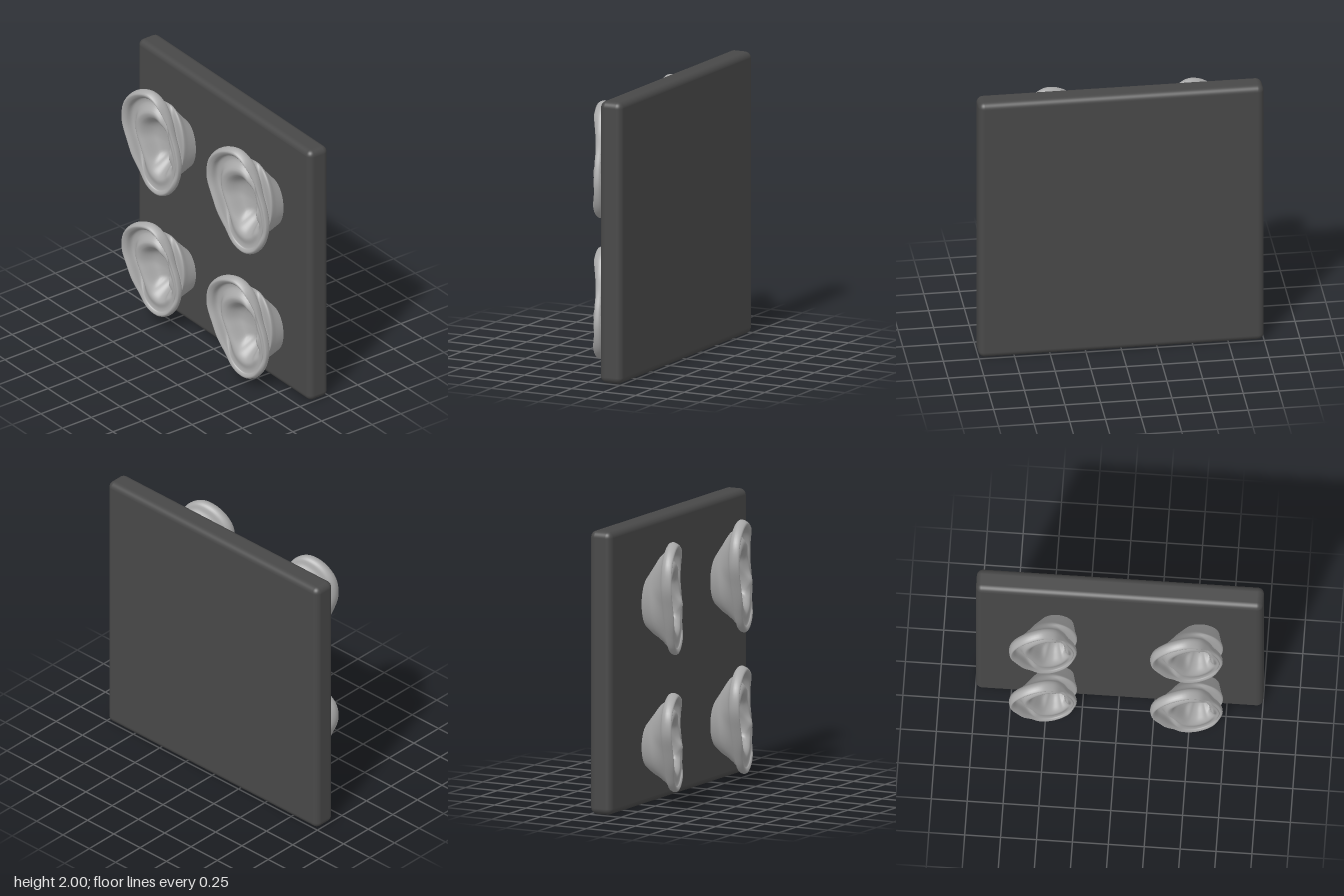
import * as THREE from 'three';
import { RoundedBoxGeometry } from 'three/addons/geometries/RoundedBoxGeometry.js';

const clamp01 = (v) => Math.min(1, Math.max(0, v));
const ease = (v) => { const c = clamp01(v); return c * c * (3 - 2 * c); };
const mix = THREE.MathUtils.lerp;

// Ear outline as [z, y], from the lobe up the rear rim, over the top and down the front
const OUTLINE = [
  [0.06, -0.40], [-0.03, -0.36], [-0.11, -0.23], [-0.19, -0.04], [-0.245, 0.13],
  [-0.225, 0.28], [-0.13, 0.38], [-0.01, 0.41], [0.08, 0.36], [0.14, 0.25],
  [0.18, 0.11], [0.22, -0.02], [0.235, -0.15], [0.2, -0.29], [0.14, -0.37],
];
const CENTRE = { z: 0.07, y: -0.05 };

// Profile from the bowl, over the fold and rim, then down the back to the board
function earProfile(z, y, angle) {
  const helix = ease((y + 0.3) / 0.2) * ease((0.2 - z) / 0.12);
  const lobe = ease((-0.18 - y) / 0.15);
  const tragus = Math.exp(-(((y + 0.06) / 0.1) ** 2)) * ease((z - 0.1) / 0.08);
  const front = ease((z - 0.08) / 0.1) * (1 - lobe);
  // [scale of the outline, depth behind the rim plane]
  const rings = [
    [0, 0.13],
    [0.22, 0.125],
    [mix(0.42, 0.5, front), mix(0.1, 0.06, lobe)],
    [mix(0.54, 0.55, front), 0.02 + 0.04 * front - 0.045 * tragus],
    [mix(0.64, 0.68, front), 0.005 + 0.02 * front - 0.03 * tragus],
    [0.77, 0.012 + 0.035 * helix],
    [0.86, 0.008 + 0.032 * helix],
    [0.88, 0.002 - 0.006 * helix + 0.012 * front],
    [0.95, -0.005 - 0.02 * helix + 0.018 * front],
    [1.0, 0.018],
    [0.97, 0.05],
    [0.87, 0.068],
  ];
  const points = rings.map(([s, d]) => {
    const pz = mix(CENTRE.z, z, s), py = mix(CENTRE.y, y, s);
    return new THREE.Vector3(-0.17 + 0.25 * pz + d, py, pz);
  });
  // Rounded back of the bowl
  const back = [[-0.045, 0.05, 0.005, 0.185, 0.3], [0.01, 0.06, -0.02, 0.16, 0.25], [0.11, 0.09, -0.055, 0.105, 0.16]];
  for (const [x, cz, cy, rz, ry] of back) {
    points.push(new THREE.Vector3(x, cy + ry * Math.sin(angle), cz + rz * Math.cos(angle)));
  }
  return new THREE.CatmullRomCurve3(points, false, 'centripetal');
}

function earGeometry() {
  const AROUND = 80, ALONG = 56;
  const outline = new THREE.CatmullRomCurve3(
    OUTLINE.map(([z, y]) => new THREE.Vector3(0, y, z)), true);
  const positions = [], index = [];
  for (let j = 0; j < AROUND; j++) {
    const p = outline.getPoint(j / AROUND);
    const angle = Math.atan2((p.y - CENTRE.y) / 0.4, (p.z - CENTRE.z) / 0.24);
    const curve = earProfile(p.z, p.y, angle);
    for (let k = 0; k <= ALONG; k++) positions.push(...curve.getPoint(k / ALONG).toArray());
  }
  const row = ALONG + 1;
  for (let j = 0; j < AROUND; j++) {
    const next = (j + 1) % AROUND;
    for (let k = 0; k < ALONG; k++) {
      const a = j * row + k, c = next * row + k;
      if (k > 0) index.push(a, c, a + 1);
      index.push(c, c + 1, a + 1);
    }
  }
  const geometry = new THREE.BufferGeometry();
  geometry.setAttribute('position', new THREE.Float32BufferAttribute(positions, 3));
  geometry.setIndex(index);
  geometry.computeVertexNormals();
  return geometry;
}

export function createModel() {
  const boardGrey = new THREE.MeshStandardMaterial({ color: 0x484848 });
  boardGrey.name = 'darkGrey';
  const earGrey = new THREE.MeshStandardMaterial({ color: 0xa8a8a8 });
  earGrey.name = 'lightGrey';

  const model = new THREE.Group();
  model.name = 'earBoard';

  // Upright board with rounded edges
  const board = new THREE.Mesh(new RoundedBoxGeometry(0.17, 2, 2, 5, 0.045), boardGrey);
  board.name = 'board';
  board.position.set(0.168, 1, 0);
  model.add(board);

  // Four ears in two rows
  const geometry = earGeometry();
  const ears = [
    ['upperFrontEar', 1.47, 0.49, 1, 1.03],
    ['upperRearEar', 1.47, -0.51, 1, 0.96],
    ['lowerFrontEar', 0.455, 0.49, 0.96, 1.03],
    ['lowerRearEar', 0.455, -0.51, 0.88, 0.96],
  ];
  for (const [name, y, z, height, width] of ears) {
    const ear = new THREE.Mesh(geometry, earGrey);
    ear.name = name;
    ear.position.set(0, y, z);
    ear.scale.set(1, height, width);
    model.add(ear);
  }
  return model;
}
